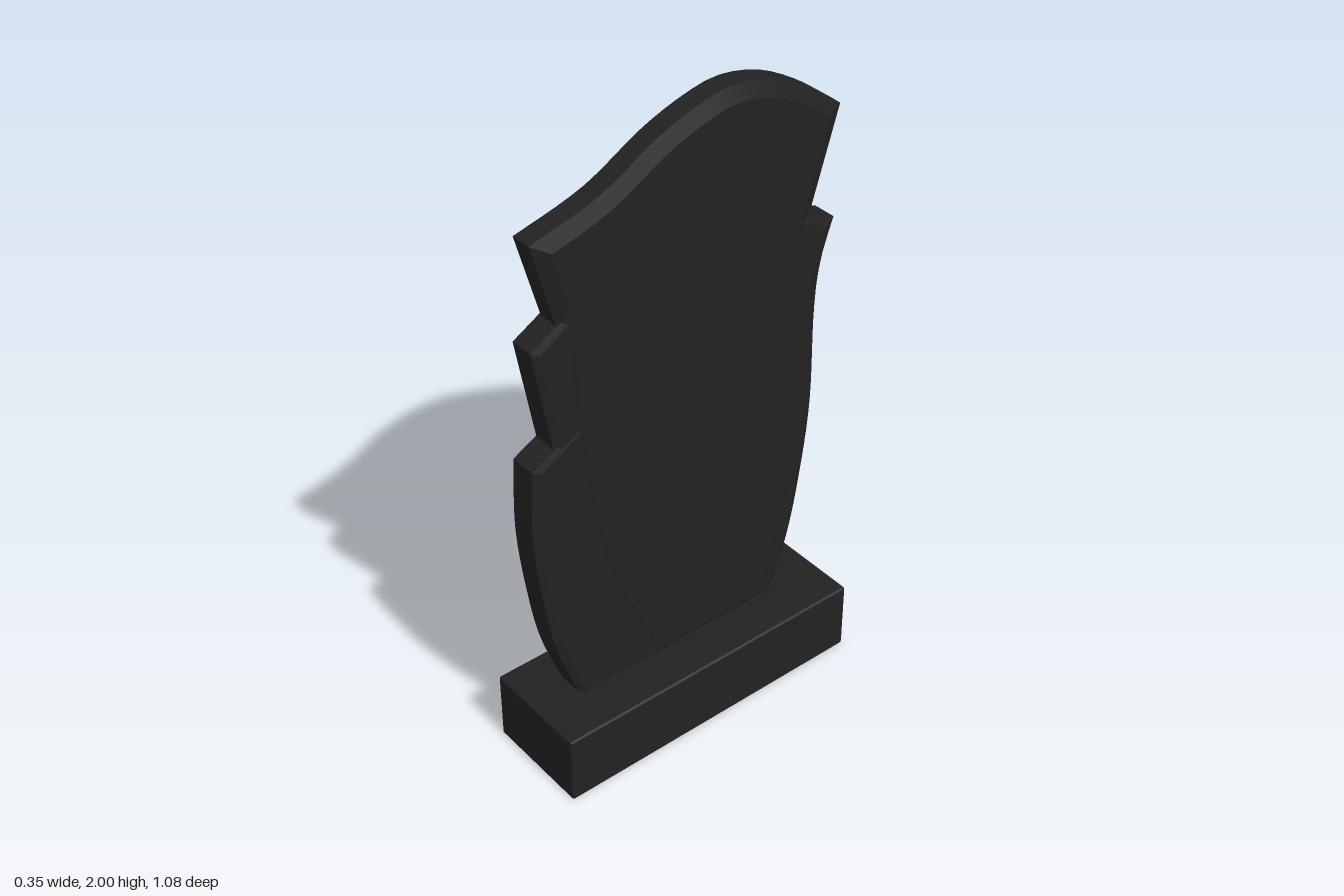
import * as THREE from 'three';
import { toCreasedNormals } from 'three/addons/utils/BufferGeometryUtils.js';
import { RoundedBoxGeometry } from 'three/addons/geometries/RoundedBoxGeometry.js';

const granite = new THREE.MeshStandardMaterial({ color: 0x222222 });
granite.name = 'black granite';

const SLAB_X = -0.0125; // centre plane of the upright stone

// Upright slab from an outline of [z, y] runs: a run of two points is a straight
// edge, a longer run is a smooth curve. Each run begins where the last one ended.
function slab(name, runs, half, bevelDepth, bevelWidth) {
  const shape = new THREE.Shape();
  runs.forEach((run, i) => {
    const pts = run.map(([z, y]) => new THREE.Vector2(-z, y));
    if (i === 0) shape.moveTo(pts[0].x, pts[0].y);
    if (pts.length === 2) {
      shape.lineTo(pts[1].x, pts[1].y);
    } else {
      const curve = new THREE.SplineCurve(pts);
      curve.getSpacedPoints(24).slice(1).forEach((p) => shape.lineTo(p.x, p.y));
    }
  });
  const depth = 2 * (half - bevelDepth);
  const geo = new THREE.ExtrudeGeometry(shape, {
    depth, bevelEnabled: true, bevelSegments: 1,
    bevelThickness: bevelDepth, bevelSize: bevelWidth, bevelOffset: -bevelWidth,
  });
  geo.translate(0, 0, -depth / 2);
  geo.rotateY(Math.PI / 2); // outline into the z-y plane, thickness along x
  geo.translate(SLAB_X, 0, 0);
  const mesh = new THREE.Mesh(toCreasedNormals(geo, 0.3), granite);
  mesh.name = name;
  return mesh;
}

export function createModel() {
  const group = new THREE.Group();
  group.name = 'headstone';

  // Plinth
  const base = new THREE.Mesh(new RoundedBoxGeometry(0.354, 0.23, 1.055, 2, 0.008), granite);
  base.name = 'base';
  base.position.set(0, 0.115, 0.0075);
  group.add(base);

  // Central panel with wave-shaped top and wide chamfer
  group.add(slab('mainPanel', [
    [[0.485, 1.775], [0.27, 1.835], [0.08, 1.935], [-0.07, 1.987], [-0.18, 2.0],
      [-0.31, 1.97], [-0.44, 1.90], [-0.54, 1.825]],
    [[-0.54, 1.825], [-0.445, 1.52]],
    [[-0.445, 1.52], [-0.425, 1.30], [-0.44, 1.1], [-0.435, 0.76], [-0.405, 0.5], [-0.33, 0.2]],
    [[-0.33, 0.2], [0.13, 0.2]],
    [[0.13, 0.2], [0.28, 0.55], [0.35, 0.81], [0.39, 1.08], [0.405, 1.27], [0.415, 1.52]],
    [[0.415, 1.52], [0.485, 1.775]],
  ], 0.0525, 0.02, 0.045));

  // Lower front leaf
  group.add(slab('lowerFrontLeaf', [
    [[0.2, 1.27], [0.517, 1.10]],
    [[0.517, 1.10], [0.525, 0.87], [0.50, 0.63], [0.46, 0.42], [0.38, 0.2]],
    [[0.38, 0.2], [0.0, 0.2]],
    [[0.0, 0.2], [0.2, 1.27]],
  ], 0.049, 0.008, 0.022));

  // Middle front leaf
  group.add(slab('middleFrontLeaf', [
    [[0.25, 1.61], [0.50, 1.467]],
    [[0.50, 1.467], [0.425, 1.04]],
    [[0.425, 1.04], [0.2, 1.0]],
    [[0.2, 1.0], [0.25, 1.61]],
  ], 0.046, 0.008, 0.022));

  // Rear leaf
  group.add(slab('rearLeaf', [
    [[-0.3, 1.58], [-0.533, 1.48]],
    [[-0.533, 1.48], [-0.49, 1.345], [-0.475, 1.185], [-0.475, 0.87], [-0.443, 0.60],
      [-0.40, 0.39], [-0.33, 0.2]],
    [[-0.33, 0.2], [-0.1, 0.2]],
    [[-0.1, 0.2], [-0.3, 1.58]],
  ], 0.047, 0.01, 0.025));

  return group;
}
